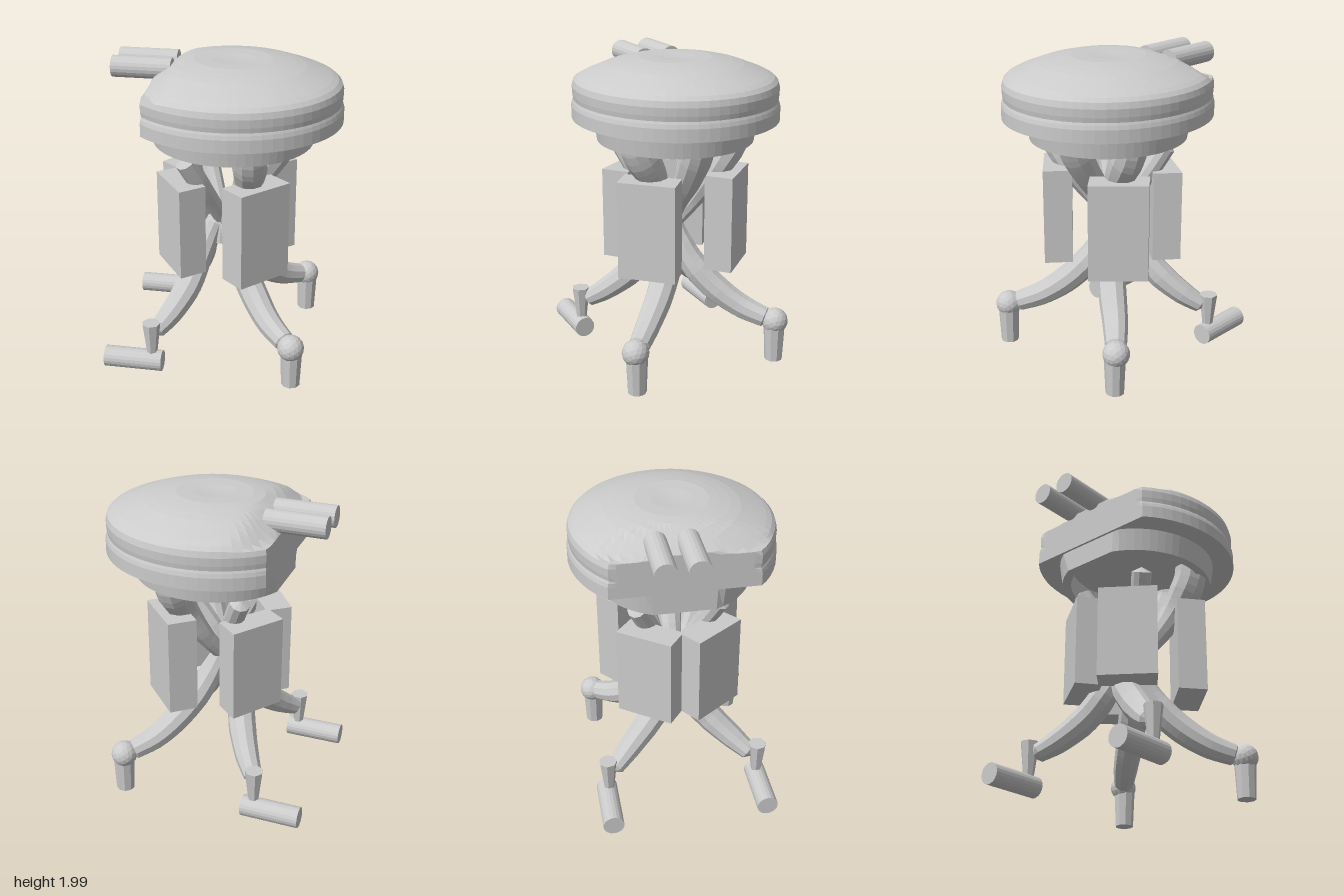
import * as THREE from 'three';

const material = new THREE.MeshStandardMaterial({ color: 0xcccccc, flatShading: true, side: THREE.DoubleSide });
const V = (x, y, z) => new THREE.Vector3(x, y, z);

function add(parent, name, geometry, x = 0, y = 0, z = 0) {
  const mesh = new THREE.Mesh(geometry, material);
  mesh.name = name;
  mesh.position.set(x, y, z);
  parent.add(mesh);
}

// Tube along a curve whose radius follows a list of values
function taperedTube(points, radii, sides = 10, steps = 20) {
  const curve = new THREE.CatmullRomCurve3(points);
  const geometry = new THREE.TubeGeometry(curve, steps, 1, sides);
  const pos = geometry.attributes.position;
  const p = V(0, 0, 0), v = V(0, 0, 0);
  for (let i = 0; i <= steps; i++) {
    const t = (i / steps) * (radii.length - 1);
    const k = Math.min(Math.floor(t), radii.length - 2);
    const closed = i === 0 || i === steps;
    const r = closed ? 0.001 : THREE.MathUtils.lerp(radii[k], radii[k + 1], t - k);
    curve.getPointAt(i / steps, p);
    for (let j = 0; j <= sides; j++) {
      const n = i * (sides + 1) + j;
      v.fromBufferAttribute(pos, n).sub(p).multiplyScalar(r).add(p);
      pos.setXYZ(n, v.x, v.y, v.z);
    }
  }
  geometry.computeVertexNormals();
  return geometry;
}

// Oval lathe, cut flat on its right side at x = cut
function cutLathe(profile, rx, rz, cut, dip = 0) {
  const points = profile.map(([r, y]) => new THREE.Vector2(r, y));
  const geometry = new THREE.LatheGeometry(points, 64);
  const pos = geometry.attributes.position;
  for (let i = 0; i < pos.count; i++) {
    const x = Math.max(0.03 + pos.getX(i) * rx, cut);
    let y = pos.getY(i);
    if (y > 1.85) {
      // The top slopes down towards the flat side
      const s = THREE.MathUtils.smoothstep(-x, 0.26, 0.47);
      y = Math.max(1.85, y - dip * s);
    }
    pos.setXYZ(i, x, y, pos.getZ(i) * rz);
  }
  geometry.computeVertexNormals();
  return geometry;
}

// Upright block over a four-cornered footprint in x and z
function blockGeometry(corners, height) {
  const shape = new THREE.Shape(corners.map(([x, z]) => new THREE.Vector2(x, z)));
  const geometry = new THREE.ExtrudeGeometry(shape, { depth: height, bevelEnabled: false });
  return geometry.rotateX(Math.PI / 2);
}

export function createModel() {
  const group = new THREE.Group();
  group.name = 'stool';

  // Cushion with a shallow groove around its edge
  add(group, 'cushion', cutLathe([
    [0, 1.62], [0.5, 1.62], [1, 1.62], [1, 1.7], [0.99, 1.725], [0.98, 1.74],
    [0.987, 1.77], [0.99, 1.82], [0.975, 1.857], [0.94, 1.88], [0.89, 1.897], [0.83, 1.913],
    [0.75, 1.933], [0.65, 1.957], [0.55, 1.973], [0.45, 1.985], [0.35, 1.994],
    [0.2, 1.993], [0.1, 1.988], [0, 1.986],
  ], 0.69, 0.645, -0.455, 0.06));

  // Hollow ring under the cushion
  add(group, 'seatRing', cutLathe([
    [0.85, 1.62], [0.85, 1.475], [0.96, 1.475], [1, 1.62],
  ], 0.53, 0.515, -0.44));

  // Short column where arms and legs meet
  add(group, 'column', new THREE.CylinderGeometry(0.05, 0.07, 0.22, 10), -0.045, 0.86, 0);

  // Arms that spread from the column to the seat
  add(group, 'leftArm', taperedTube(
    [V(-0.05, 0.82, 0), V(0.04, 1.03, 0), V(0.2, 1.23, 0), V(0.355, 1.5, 0), V(0.36, 1.6, 0)],
    [0.06, 0.07, 0.085, 0.1, 0.1]));

  for (const s of [1, -1]) {
    add(group, 'sideArm', taperedTube(
      [V(-0.02, 0.87, 0), V(0.06, 1.05, s * 0.12), V(0.16, 1.27, s * 0.22), V(0.185, 1.47, s * 0.33), V(0.185, 1.6, s * 0.35)],
      [0.05, 0.06, 0.085, 0.11, 0.11]));
    add(group, 'shortArm', taperedTube(
      [V(-0.04, 0.9, 0), V(-0.085, 1.04, s * 0.08), V(-0.155, 1.22, s * 0.18), V(-0.24, 1.42, s * 0.27)],
      [0.05, 0.055, 0.065, 0.065]));

    // Blocks around the column, the right pair turned further back
    add(group, 'leftBlock', blockGeometry(
      [[0.16, s * 0.47], [0.42, s * 0.2], [0.28, s * 0.08], [0.02, s * 0.35]], 0.63), 0, 1.275, 0);
    add(group, 'rightBlock', blockGeometry(
      [[-0.24, s * 0.395], [-0.1, s * 0.275], [-0.32, s * -0.015], [-0.455, s * 0.09]], 0.6), 0, 1.245, 0);

    // Left leg with a ball ankle and a straight foot
    add(group, 'leftLeg', taperedTube([
      V(-0.03, 0.93, 0), V(0.03, 0.78, s * 0.03), V(0.1, 0.63, s * 0.09),
      V(0.2, 0.475, s * 0.2), V(0.32, 0.35, s * 0.34), V(0.47, 0.275, s * 0.49),
    ], [0.055, 0.08, 0.093, 0.09, 0.08, 0.065]));
    add(group, 'ankle', new THREE.IcosahedronGeometry(0.086, 2), 0.485, 0.275, s * 0.505);
    add(group, 'foot', new THREE.CylinderGeometry(0.072, 0.06, 0.27, 9), 0.49, 0.14, s * 0.5);

    // Right leg, steeper, with a clipped foot
    add(group, 'rightLeg', taperedTube([
      V(-0.07, 0.93, 0), V(-0.135, 0.77, s * 0.035), V(-0.185, 0.64, s * 0.09),
      V(-0.23, 0.5, s * 0.2), V(-0.32, 0.36, s * 0.35), V(-0.42, 0.26, s * 0.48),
    ], [0.055, 0.075, 0.09, 0.09, 0.078, 0.055]));
    add(group, 'cutFoot', new THREE.CylinderGeometry(0.06, 0.032, 0.24, 7), -0.42, 0.24, s * 0.5);
  }

  // Round bars pointing to the right: two at the feet, two at the seat
  for (const [y, z] of [[0.085, -0.51], [0.085, 0.505], [1.917, -0.163], [1.917, 0.03]]) {
    const bar = new THREE.CylinderGeometry(0.068, 0.068, 0.38, 20);
    bar.rotateZ(Math.PI / 2);
    add(group, y < 1 ? 'lowerBar' : 'upperBar', bar, -0.54, y, z);
  }

  return group;
}
